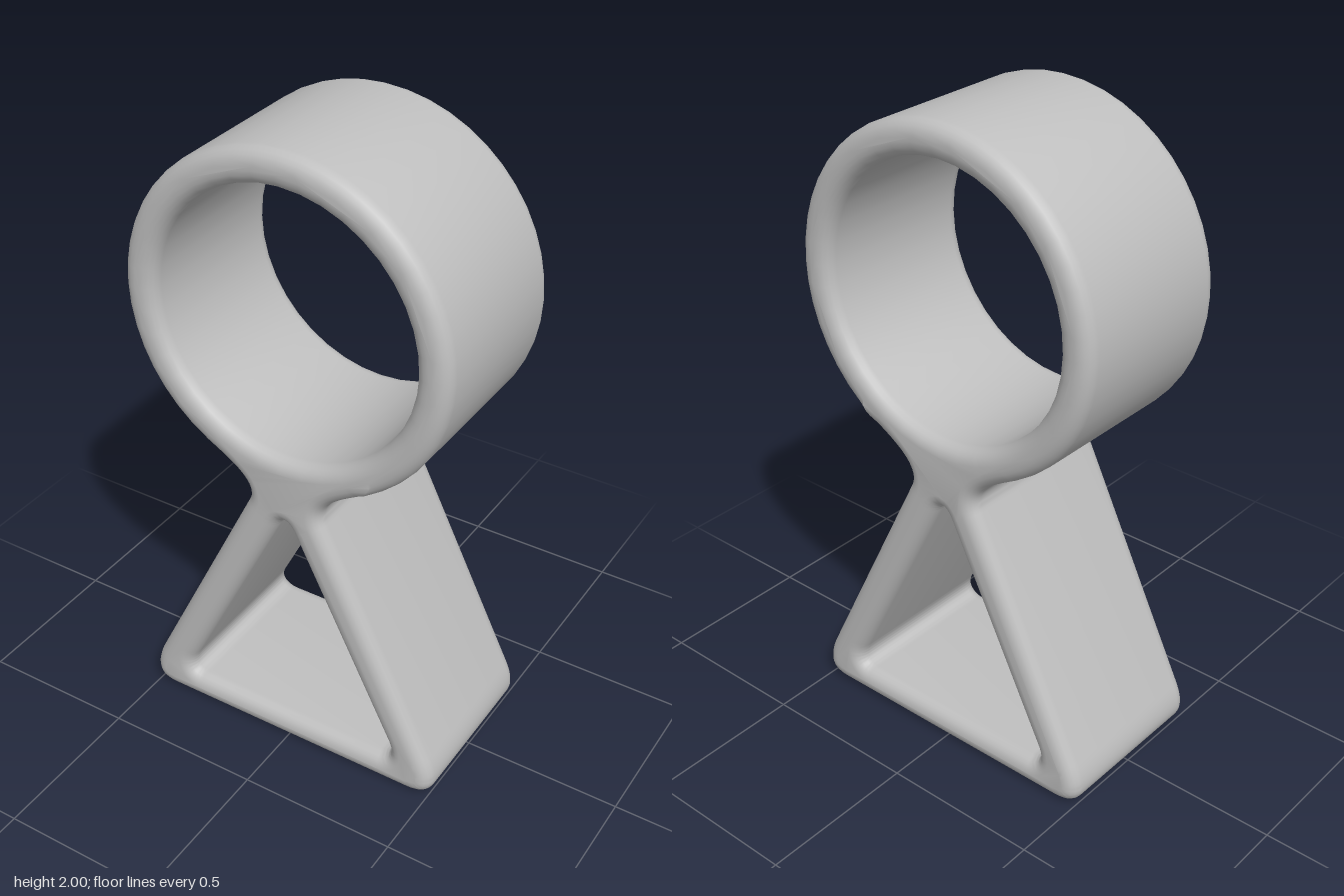
import * as THREE from 'three';
import { toCreasedNormals } from 'three/addons/utils/BufferGeometryUtils.js';

const HALF_DEPTH = 0.286, ROUND = 0.045;
const RING_Y = 1.48, RING_OUTER = 0.52, RING_INNER = 0.415;

export function createModel() {
  const group = new THREE.Group();
  const grey = new THREE.MeshStandardMaterial({ color: 0xbfbfbf });
  grey.name = 'plain grey';

  // Outline: triangular stand flowing through a filleted neck into the ring
  const outline = new THREE.Shape();
  outline.moveTo(-0.43, 0);
  outline.lineTo(0.43, 0);
  outline.bezierCurveTo(0.51, 0, 0.535, 0.05, 0.49, 0.14);
  outline.lineTo(0.13, 0.87);
  outline.bezierCurveTo(0.095, 0.94, 0.17, 0.98, 0.26, 1.03);
  outline.absarc(0, RING_Y, RING_OUTER, -Math.PI / 3, Math.PI * 4 / 3, false);
  outline.bezierCurveTo(-0.17, 0.98, -0.095, 0.94, -0.13, 0.87);
  outline.lineTo(-0.49, 0.14);
  outline.bezierCurveTo(-0.535, 0.05, -0.51, 0, -0.43, 0);

  // Round opening
  const ringHole = new THREE.Path();
  ringHole.absarc(0, RING_Y, RING_INNER, 0, Math.PI * 2, true);

  // Triangular opening with soft corners
  const standHole = new THREE.Path();
  standHole.moveTo(-0.32, 0.09);
  standHole.bezierCurveTo(-0.37, 0.09, -0.375, 0.125, -0.35, 0.17);
  standHole.lineTo(-0.03, 0.81);
  standHole.bezierCurveTo(-0.01, 0.853, 0.01, 0.853, 0.03, 0.81);
  standHole.lineTo(0.35, 0.17);
  standHole.bezierCurveTo(0.375, 0.125, 0.37, 0.09, 0.32, 0.09);
  standHole.lineTo(-0.32, 0.09);

  outline.holes.push(ringHole, standHole);

  // Rounded extrusion, centred in depth
  const depth = 2 * (HALF_DEPTH - ROUND);
  const geometry = new THREE.ExtrudeGeometry(outline, {
    depth,
    curveSegments: 20,
    bevelEnabled: true,
    bevelSize: ROUND,
    bevelOffset: -ROUND,
    bevelThickness: ROUND,
    bevelSegments: 5,
  });
  geometry.translate(0, 0, -depth / 2);

  const body = new THREE.Mesh(toCreasedNormals(geometry, 0.7), grey);
  body.name = 'ringOnTriangleStand';
  group.add(body);
  return group;
}
